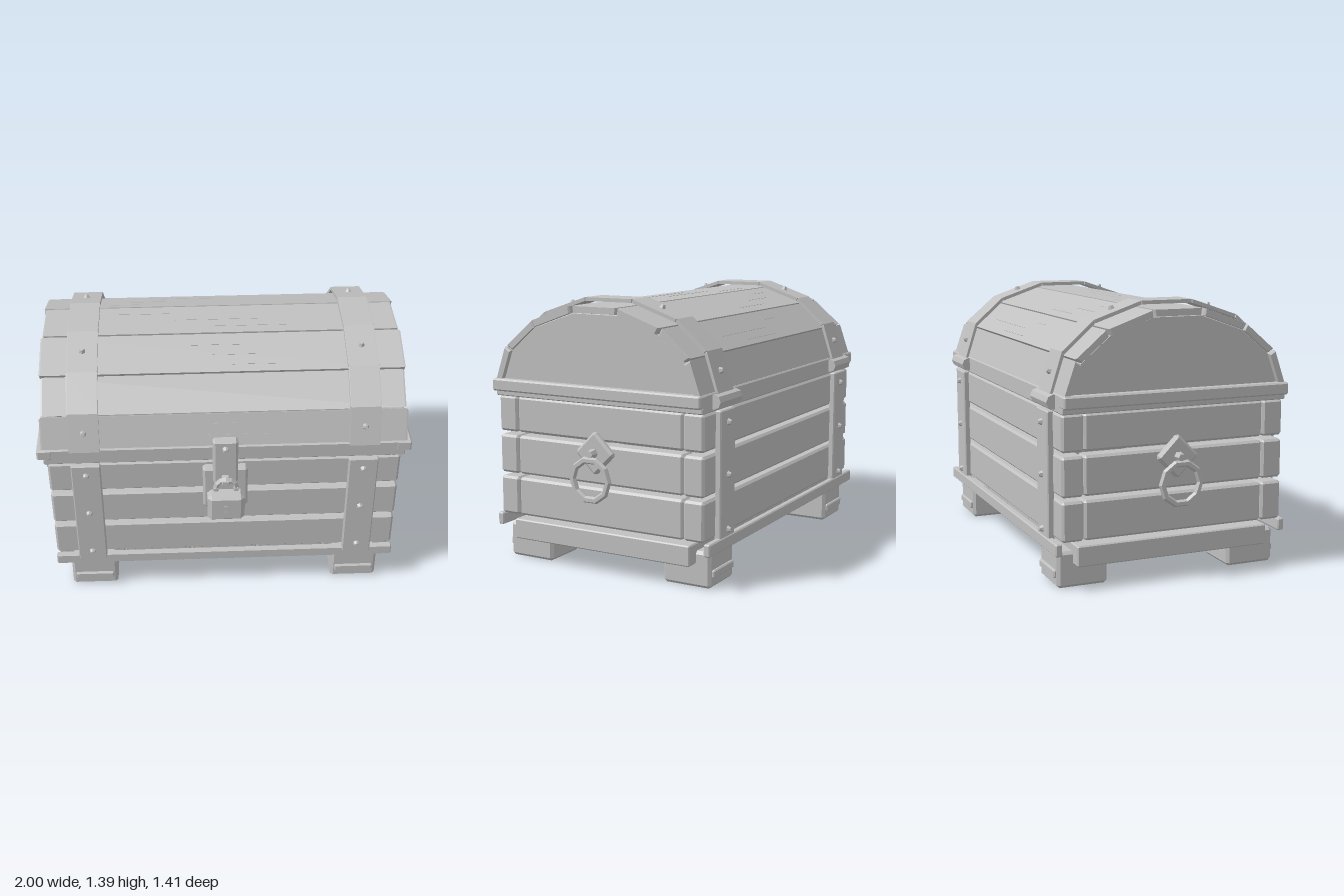
import * as THREE from 'three';
import { ConvexGeometry } from 'three/addons/geometries/ConvexGeometry.js';

const ZC = -0.055; // middle of the chest body along z

export function createModel() {
  const root = new THREE.Group();
  root.name = 'chest';
  const grey = new THREE.MeshStandardMaterial({ color: 0xc0c0c0 });
  grey.name = 'plainGrey';

  const add = (name, geometry, parent = root) => {
    const mesh = new THREE.Mesh(geometry, grey);
    mesh.name = name;
    parent.add(mesh);
    return mesh;
  };

  // Box between two corners with all edges chamfered by c
  const block = (name, x0, x1, y0, y1, z0, z1, c = 0.01) => {
    const h = [(x1 - x0) / 2, (y1 - y0) / 2, (z1 - z0) / 2];
    const pts = [];
    for (const sx of [-1, 1]) for (const sy of [-1, 1]) for (const sz of [-1, 1])
      for (let a = 0; a < 3; a++) {
        const d = h.map((v, i) => (i === a ? v : v - c));
        pts.push(new THREE.Vector3(sx * d[0], sy * d[1], sz * d[2]));
      }
    const mesh = add(name, new ConvexGeometry(pts));
    mesh.position.set((x0 + x1) / 2, (y0 + y1) / 2, (z0 + z1) / 2);
    return mesh;
  };

  // Convex [z, y] section carried along x, with chamfered ends
  const prism = (name, section, x0, x1, c = 0.008) => {
    const n = section.length;
    const mz = section.reduce((s, p) => s + p[0], 0) / n;
    const my = section.reduce((s, p) => s + p[1], 0) / n;
    const pts = [];
    for (const [z, y] of section) {
      const l = Math.hypot(z - mz, y - my), k = Math.max(0, 1 - c / l);
      pts.push(new THREE.Vector3(x0 + c, y, z), new THREE.Vector3(x1 - c, y, z));
      for (const x of [x0, x1]) pts.push(new THREE.Vector3(x, my + (y - my) * k, mz + (z - mz) * k));
    }
    return add(name, new ConvexGeometry(pts));
  };

  // Domed rivet, axis in the yz plane
  const rivet = (x, y, z, ny, nz) => {
    const m = add('rivet', new THREE.CylinderGeometry(0.01, 0.02, 0.022, 6).toNonIndexed());
    m.geometry.computeVertexNormals();
    m.position.set(x, y, z);
    m.quaternion.setFromUnitVectors(new THREE.Vector3(0, 1, 0), new THREE.Vector3(0, ny, nz).normalize());
  };

  // Mirrors a half profile of [offset from middle, y] into a full arch
  const arch = half => [
    ...half.map(([d, y]) => [ZC + d, y]),
    ...half.slice().reverse().map(([d, y]) => [ZC - d, y]),
  ];

  // Wall planks: long ones front and back, short ones on the sides
  for (const [y0, y1] of [[0.25, 0.45], [0.47, 0.67], [0.69, 0.875]]) {
    block('frontPlank', -0.92, 0.92, y0, y1, 0.432, 0.545, 0.012);
    block('backPlank', -0.92, 0.92, y0, y1, -0.655, -0.542, 0.012);
    for (const s of [-1, 1])
      block('sidePlank', s > 0 ? 0.82 : -0.918, s > 0 ? 0.918 : -0.82, y0, y1, -0.54, 0.43, 0.012);
  }

  // Floor planks
  for (let i = 0; i < 5; i++) {
    const x = -0.92 + i * 0.368;
    block('floorPlank', x + 0.003, x + 0.365, 0.12, 0.225, -0.575, 0.465, 0.006);
  }

  // Base trim front and back
  block('frontTrim', -0.922, 0.922, 0.185, 0.248, 0.535, 0.57, 0.006);
  block('backTrim', -0.922, 0.922, 0.185, 0.248, -0.69, -0.655, 0.006);

  // Lid rim
  block('frontRim', -0.935, 0.935, 0.877, 0.968, 0.49, 0.548, 0.006);
  block('backRim', -0.935, 0.935, 0.877, 0.968, -0.658, -0.6, 0.006);
  for (const s of [-1, 1]) {
    const span = (a, b) => (s > 0 ? [a, b] : [-b, -a]);
    block('sideRimLower', ...span(0.87, 0.938), 0.877, 0.91, -0.658, 0.548, 0.005);
    block('sideRim', ...span(0.89, 0.97), 0.905, 0.968, -0.66, 0.55, 0.008);
  }

  // Lid planks, lid straps and end panels
  const plankOut = arch([[0.598, 0.955], [0.536, 1.135], [0.375, 1.272], [0.135, 1.357]]);
  const plankIn = arch([[0.562, 0.955], [0.505, 1.115], [0.358, 1.24], [0.13, 1.322]]);
  const strapOut = arch([[0.615, 0.96], [0.552, 1.16], [0.388, 1.305], [0.138, 1.39]]);
  const strapIn = arch([[0.6, 0.96], [0.538, 1.148], [0.38, 1.288], [0.136, 1.371]]);
  const mix = (a, b, t) => [a[0] + (b[0] - a[0]) * t, a[1] + (b[1] - a[1]) * t];
  for (let i = 0; i < 7; i++) {
    const quad = (o, n, g) => [mix(o[i], o[i + 1], g), mix(o[i], o[i + 1], 1 - g),
      mix(n[i], n[i + 1], 1 - g), mix(n[i], n[i + 1], g)];
    const w = i % 2 ? 0.935 : 0.945;
    prism('lidPlank', quad(plankOut, plankIn, 0.02), -w, w);
    for (const x of [-0.723, 0.723]) {
      prism('lidStrap', quad(strapOut, strapIn, 0), x - 0.08, x + 0.08, 0.004);
      if (i === 0 || i === 2 - 0 || i === 4 || i === 6) {
        const a = strapOut[i], b = strapOut[i + 1];
        const [z, y] = mix(a, b, 0.5);
        const ny = a[0] - b[0], nz = b[1] - a[1];
        const l = Math.hypot(ny, nz);
        rivet(x, y + (ny / l) * 0.007, z + (nz / l) * 0.007, ny, nz);
      }
    }
  }
  for (const s of [-1, 1]) prism('lidEndPanel', plankIn, s > 0 ? 0.86 : -0.925, s > 0 ? 0.925 : -0.86, 0.005);

  // Wood grain slivers on the lid: [z, x start, x end]
  const grain = [[-0.65, 0.06, 0.4], [-0.56, -0.08, 0.26], [-0.52, -0.03, 0.48], [-0.48, -0.23, -0.1],
    [-0.37, -0.32, -0.03], [-0.31, -0.49, -0.25], [-0.25, -0.59, -0.43], [-0.12, -0.55, -0.27],
    [-0.055, -0.24, 0.2], [0.01, -0.07, 0.35], [0.15, -0.2, 0.1], [0.21, -0.05, 0.2],
    [0.27, 0.05, 0.3], [0.5, -0.13, 0.09], [0.52, -0.17, 0.23]];
  for (const [z, x0, x1] of grain) {
    const i = plankOut.findIndex((p, k) => k < 7 && z <= p[0] && z >= plankOut[k + 1][0]);
    const a = plankOut[i], b = plankOut[i + 1];
    const m = add('grain', new THREE.BoxGeometry(x1 - x0, 0.003, 0.006));
    m.position.set((x0 + x1) / 2, mix(a, b, (z - a[0]) / (b[0] - a[0]))[1], z);
    m.rotation.x = Math.atan2(b[1] - a[1], a[0] - b[0]);
  }

  // Body straps with rivets, hinges and feet
  for (const x of [-0.723, 0.723]) {
    block('frontStrap', x - 0.077, x + 0.077, 0.215, 0.878, 0.54, 0.573, 0.006);
    block('backStrap', x - 0.077, x + 0.077, 0.215, 0.878, -0.685, -0.65, 0.006);
    for (const y of [0.28, 0.555, 0.815]) {
      rivet(x, y, 0.58, 0, 1);
      rivet(x, y, -0.692, 0, -1);
    }
    const hinge = add('hinge', new THREE.CylinderGeometry(0.037, 0.037, 0.235, 8).toNonIndexed());
    hinge.geometry.computeVertexNormals();
    hinge.rotation.z = Math.PI / 2;
    hinge.position.set(x, 0.926, -0.665);
    block('frontFoot', x - 0.125, x + 0.125, 0, 0.184, 0.28, 0.545, 0.015);
    block('backFoot', x - 0.125, x + 0.125, 0, 0.184, -0.655, -0.39, 0.015);
    block('frontFootBar', x - 0.105, x + 0.105, 0.052, 0.093, 0.535, 0.558, 0.006);
    block('backFootBar', x - 0.105, x + 0.105, 0.052, 0.093, -0.668, -0.645, 0.006);
  }

  // Hasp and lock plate
  block('lockPlate', -0.117, 0.117, 0.6, 0.86, 0.545, 0.598, 0.012);
  block('hasp', -0.065, 0.065, 0.77, 1.048, 0.56, 0.612, 0.012);
  block('staple', -0.02, 0.02, 0.8, 0.83, 0.6, 0.665, 0.005);
  rivet(0, 1.0, 0.621, 0, 1);

  // Padlock with shackle and keyhole
  block('padlock', -0.097, 0.097, 0.59, 0.76, 0.62, 0.708, 0.022);
  const shackle = add('shackle', new THREE.TorusGeometry(0.052, 0.015, 4, 6, Math.PI).toNonIndexed());
  shackle.geometry.computeVertexNormals();
  shackle.position.set(0, 0.778, 0.648);
  for (const s of [-1, 1]) block('shackleLeg', s * 0.052 - 0.013, s * 0.052 + 0.013, 0.74, 0.782, 0.635, 0.661, 0.004);
  const keyhole = add('keyhole', new THREE.CylinderGeometry(0.015, 0.015, 0.006, 8));
  keyhole.rotation.x = Math.PI / 2;
  keyhole.position.set(0, 0.685, 0.709);
  const slot = add('keyholeSlot', new THREE.BoxGeometry(0.012, 0.04, 0.006));
  slot.position.set(0, 0.66, 0.709);

  // Side handles: diamond plate, knob and ring
  for (const s of [-1, 1]) {
    const plate = block('handlePlate', -0.02, 0.02, -0.08, 0.08, -0.08, 0.08, 0.012);
    plate.rotation.x = Math.PI / 4;
    plate.position.set(s * 0.93, 0.632, ZC);
    const knob = add('handleKnob', new THREE.CylinderGeometry(0.018, 0.026, 0.05, 6).toNonIndexed());
    knob.geometry.computeVertexNormals();
    knob.rotation.z = -s * Math.PI / 2;
    knob.position.set(s * 0.965, 0.635, ZC);
    const ring = add('handleRing', new THREE.TorusGeometry(0.104, 0.018, 6, 10).toNonIndexed());
    ring.geometry.computeVertexNormals();
    ring.rotation.y = Math.PI / 2;
    ring.position.set(s * 0.982, 0.505, ZC);
  }
  return root;
}
